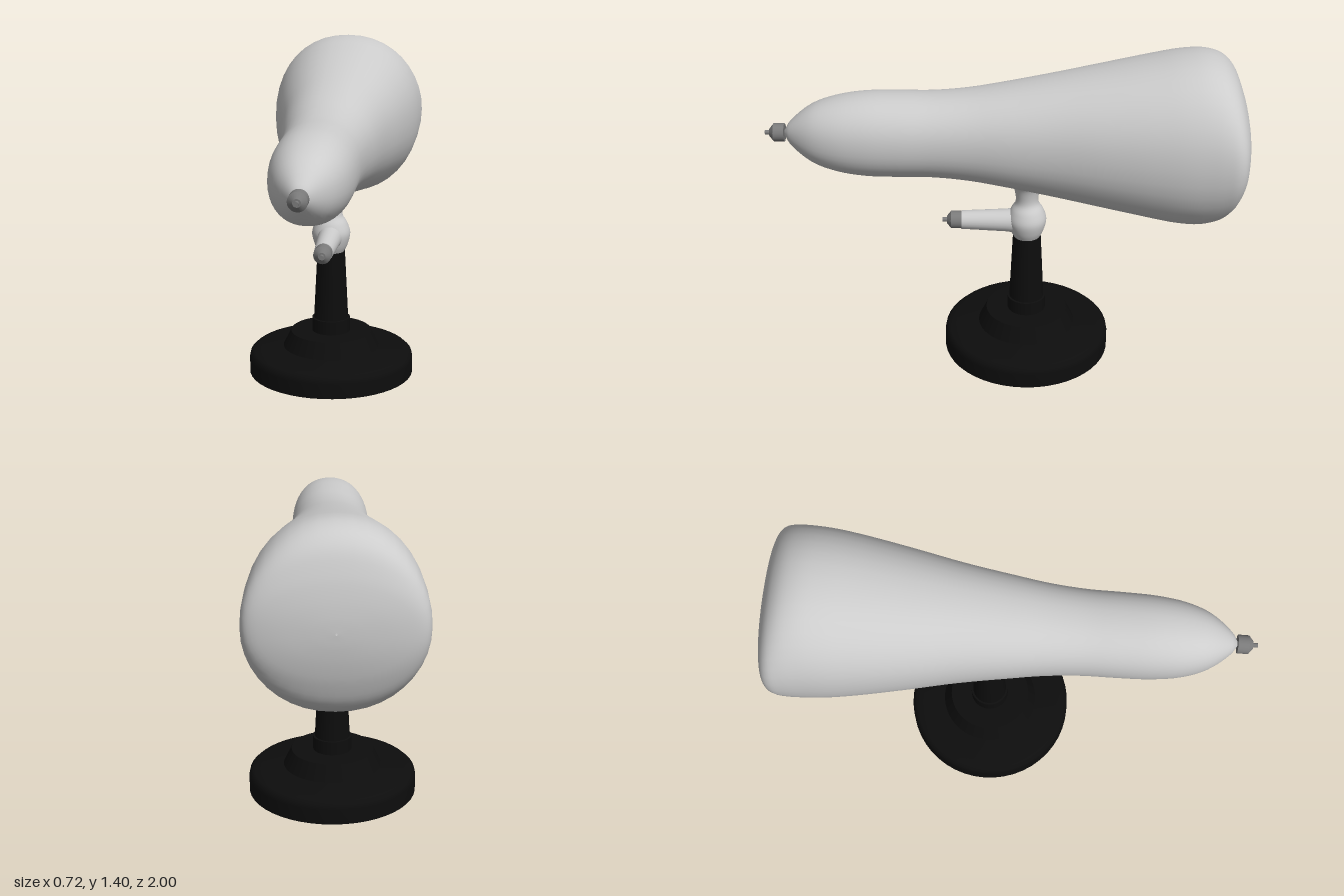
import * as THREE from 'three';

const paint = (name, color) => {
  const m = new THREE.MeshStandardMaterial({ color });
  m.name = name;
  return m;
};

// Surface of revolution from [radius, height] pairs, listed bottom to top.
function lathe(name, pairs, material, segments = 40) {
  const geo = new THREE.LatheGeometry(pairs.map(([r, y]) => new THREE.Vector2(r, y)), segments);
  const mesh = new THREE.Mesh(geo, material);
  mesh.name = name;
  return mesh;
}

// Shade: smooth loft of rounded cross-sections [z, halfWidth, halfHeight].
function shadeGeometry() {
  const sections = [
    [0.915, 0.01, 0.01], [0.89, 0.045, 0.05], [0.8, 0.112, 0.122], [0.7, 0.148, 0.158],
    [0.58, 0.165, 0.177], [0.44, 0.17, 0.18], [0.3, 0.172, 0.18], [0.15, 0.184, 0.193],
    [0, 0.206, 0.218], [-0.2, 0.238, 0.257], [-0.4, 0.279, 0.298], [-0.6, 0.316, 0.34],
    [-0.72, 0.333, 0.362], [-0.81, 0.34, 0.365], [-0.88, 0.344, 0.343], [-0.93, 0.342, 0.295],
    [-0.965, 0.315, 0.215], [-0.985, 0.235, 0.14], [-0.997, 0.1, 0.06], [-1, 0.004, 0.004],
  ];
  const curve = new THREE.CatmullRomCurve3(sections.map(s => new THREE.Vector3(...s)));
  const rows = 76, sides = 40, power = 2 / 2.15, pos = [], index = [];
  const bend = v => Math.sign(v) * Math.abs(v) ** power;
  for (let i = 0; i <= rows; i++) {
    const s = curve.getPoint(i / rows);
    for (let j = 0; j < sides; j++) {
      const a = (j / sides) * Math.PI * 2;
      const x = s.y * bend(Math.cos(a));
      let y = s.z * bend(Math.sin(a));
      // shallow dimple underneath
      if (y < 0) y += 0.02 * Math.exp(-((x / 0.08) ** 2) - ((s.x + 0.55) / 0.06) ** 2);
      pos.push(x, y, s.x);
      if (i < rows) {
        const p = i * sides + j, q = i * sides + (j + 1) % sides;
        index.push(p, p + sides, q, q, p + sides, q + sides);
      }
    }
  }
  const geo = new THREE.BufferGeometry();
  geo.setAttribute('position', new THREE.Float32BufferAttribute(pos, 3));
  geo.setIndex(index);
  geo.computeVertexNormals();
  return geo;
}

// Small turned finial pointing forward.
function finial(name, y, z, material) {
  const group = new THREE.Group();
  group.name = name;
  const parts = [
    ['finialCollar', 0.038, 0.038, 0.045, 0.0225, 20],
    ['finialTaper', 0.016, 0.038, 0.018, 0.054, 20],
    ['finialTip', 0.01, 0.01, 0.02, 0.072, 8],
  ];
  for (const [part, top, bottom, h, at, sides] of parts) {
    const mesh = new THREE.Mesh(new THREE.CylinderGeometry(top, bottom, h, sides), material);
    mesh.name = part;
    mesh.rotation.x = Math.PI / 2;
    mesh.position.z = at;
    group.add(mesh);
  }
  group.position.set(0, y, z);
  return group;
}

export function createModel() {
  const silver = paint('silver', 0xcccccc);
  const steel = paint('steel', 0x7c7c7c);
  const black = paint('black', 0x0d0d0d);
  const model = new THREE.Group();
  model.name = 'deskLamp';
  const axisZ = -0.095;

  // Shade
  const shade = new THREE.Mesh(shadeGeometry(), silver);
  shade.name = 'shade';
  shade.position.y = 1.03;
  model.add(shade, finial('shadeFinial', 1.03, 0.915, steel));

  // Round foot with a stepped hub
  const foot = lathe('foot', [
    [0, 0], [0.36, 0], [0.36, 0], [0.36, 0.065], [0.356, 0.085], [0.342, 0.098], [0.31, 0.105],
    [0.21, 0.116], [0.21, 0.116], [0.176, 0.185], [0.176, 0.185], [0, 0.185],
  ], black, 48);

  // Tapered post and its collar
  const post = lathe('post', [
    [0.083, 0.18], [0.083, 0.245], [0.083, 0.245], [0.075, 0.246], [0.075, 0.246],
    [0.06, 0.548], [0.06, 0.548], [0, 0.548],
  ], black);

  // Ball joint flaring up into the shade
  const profile = new THREE.SplineCurve([
    [0.055, 0.545], [0.072, 0.58], [0.083, 0.63], [0.07, 0.675], [0.05, 0.71],
    [0.05, 0.75], [0.062, 0.795], [0.09, 0.825],
  ].map(p => new THREE.Vector2(...p)));
  const joint = lathe('ballJoint', profile.getPoints(32).map(p => [p.x, p.y]), silver);

  for (const part of [foot, post, joint]) {
    part.position.z = axisZ;
    model.add(part);
  }

  // Handle sticking forward from the joint
  const handle = lathe('handle', [[0.06, 0], [0.049, 0.09], [0.04, 0.28], [0.04, 0.28], [0, 0.282]], silver, 24);
  handle.rotation.x = Math.PI / 2;
  handle.position.set(0, 0.62, axisZ);
  model.add(handle, finial('handleFinial', 0.62, 0.185, steel));

  return model;
}
